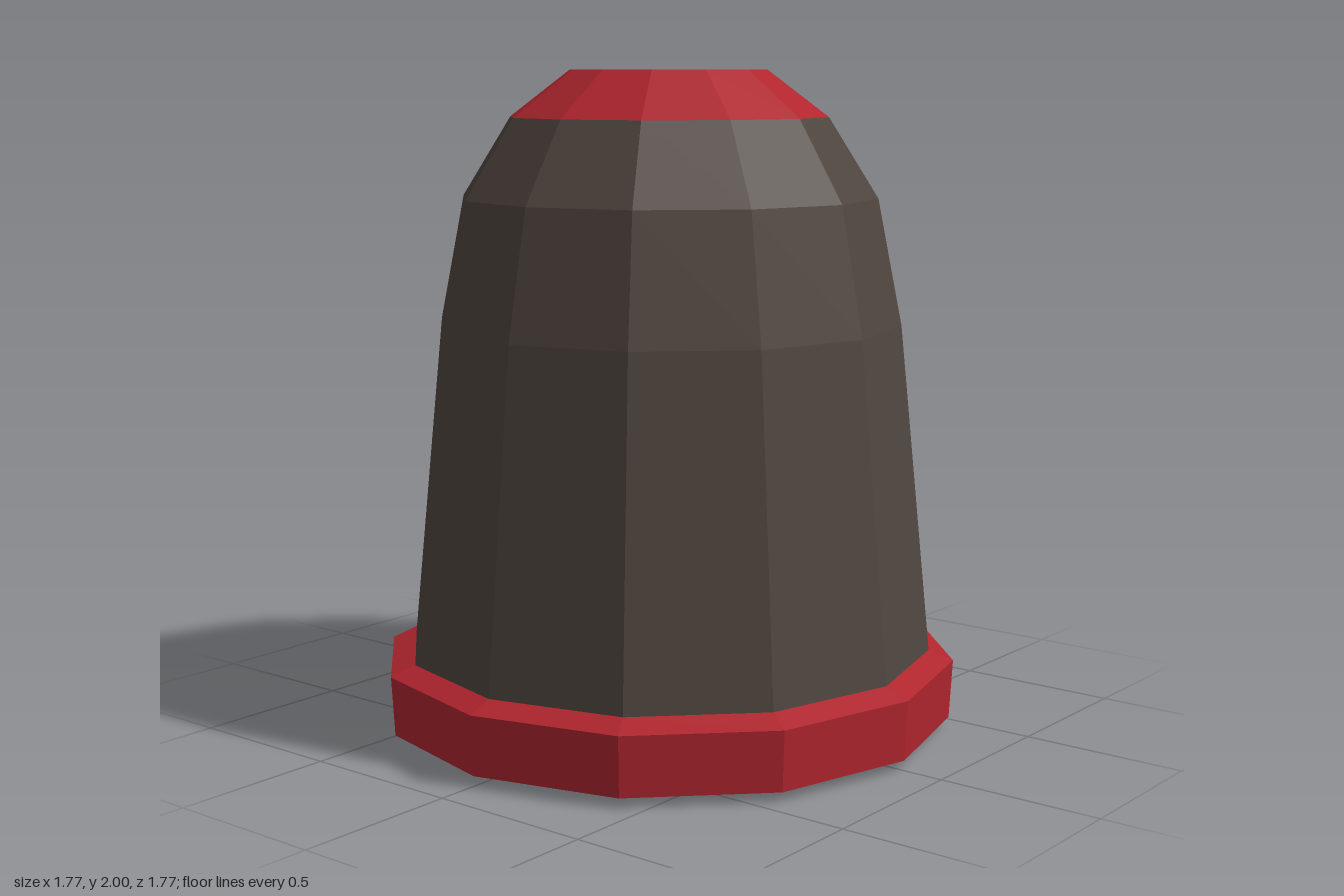
import * as THREE from 'three';

const SIDES = 12;

export function createModel() {
  const group = new THREE.Group();
  const red = new THREE.MeshStandardMaterial({ color: 0xb0252e, flatShading: true });
  const brown = new THREE.MeshStandardMaterial({ color: 0x50463f, flatShading: true });

  // Turned part from [radius, height] pairs; rising profiles face outward
  const turn = (name, profile, material) => {
    const points = profile.map(([r, y]) => new THREE.Vector2(r, y));
    const mesh = new THREE.Mesh(new THREE.LatheGeometry(points, SIDES), material);
    mesh.name = name;
    group.add(mesh);
  };

  // Chamfered rim band around the open bottom
  turn('rim', [[0.78, 0], [0.875, 0.03], [0.885, 0.21], [0.81, 0.24]], red);

  // Tapering dome wall
  turn('body', [[0.81, 0.24], [0.71, 1.24], [0.635, 1.62], [0.485, 1.86]], brown);

  // Flat-topped cap
  turn('cap', [[0.485, 1.86], [0.3, 2], [0, 2]], red);

  // Hollow inside, running from the ceiling down to the rim
  turn('lining', [[0, 1.9], [0.25, 1.9], [0.4, 1.8], [0.54, 1.58], [0.61, 1.22], [0.7, 0.26], [0.78, 0]], red);

  return group;
}
